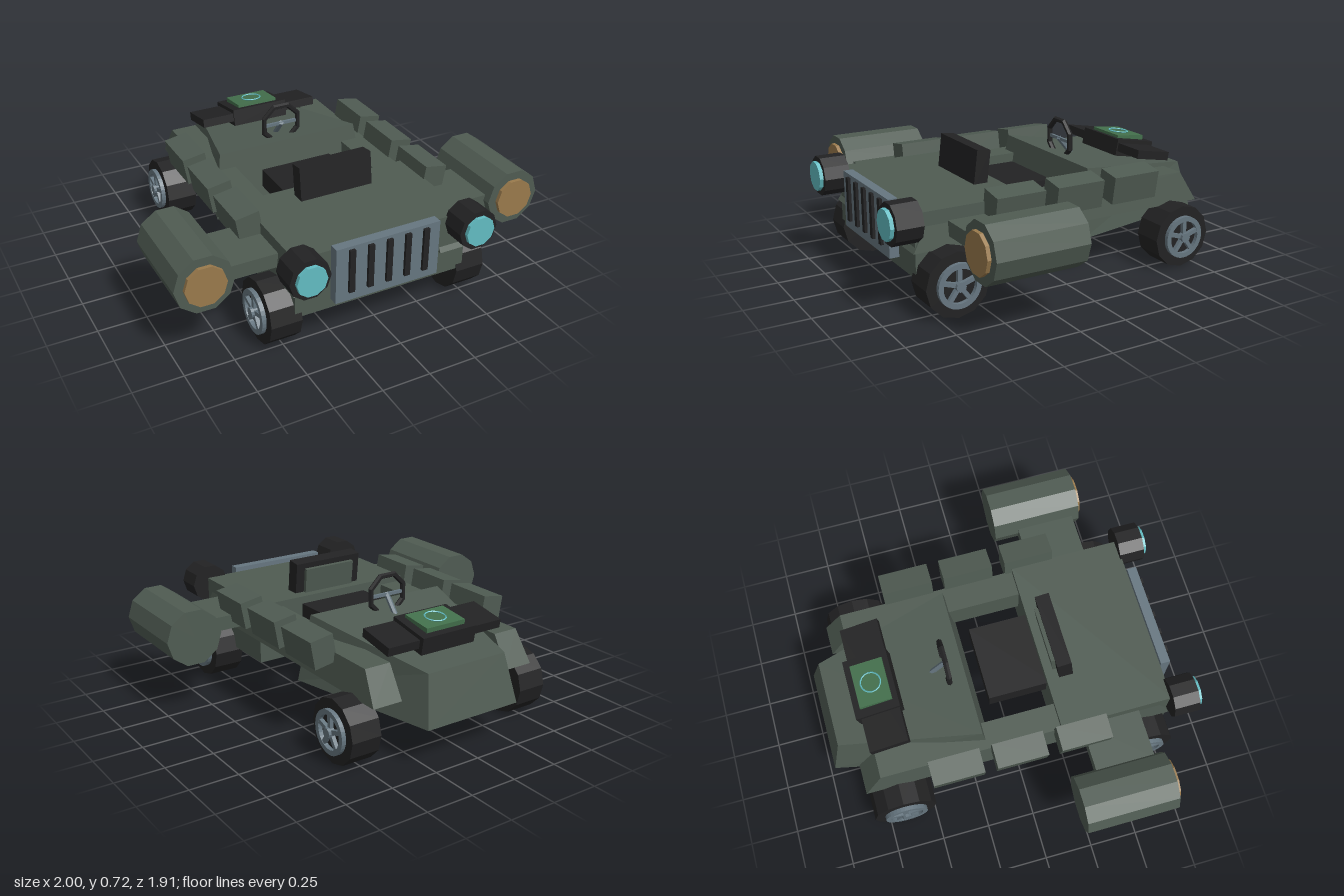
import * as THREE from 'three';

const mat = (name, color) => Object.assign(new THREE.MeshStandardMaterial({ color, flatShading: true }), { name });

export function createModel() {
  const green = mat('body green', 0x4f5b52);
  const black = mat('black', 0x222223);
  const steel = mat('blue grey steel', 0x667680);
  const cyan = mat('lens cyan', 0x62bcc2);
  const bronze = mat('bronze', 0x9a7a4c);
  const board = mat('panel green', 0x43704c);
  const root = new THREE.Group();

  const add = (name, geo, material, x, y, z, parent = root) => {
    const m = new THREE.Mesh(geo, material);
    m.name = name;
    m.position.set(x, y, z);
    parent.add(m);
    return m;
  };
  const box = (name, w, h, d, material, x, y, z, parent) =>
    add(name, new THREE.BoxGeometry(w, h, d), material, x, y, z, parent);
  // Box whose corners are placed by a rule on their signs
  const block = (name, rule, material) => {
    const g = new THREE.BoxGeometry(2, 2, 2);
    const p = g.attributes.position;
    for (let i = 0; i < p.count; i++) p.setXYZ(i, ...rule(p.getX(i), p.getY(i) > 0, p.getZ(i) > 0));
    g.computeVertexNormals();
    return add(name, g, material, 0, 0, 0);
  };
  // Ten-sided drum along z, from z0 to z1
  const drum = (name, r, z0, z1, material, x, y) => {
    const g = new THREE.CylinderGeometry(r, r, z1 - z0, 10, 1, false, Math.PI / 2);
    return add(name, g.rotateX(Math.PI / 2), material, x, y, (z0 + z1) / 2);
  };

  // Hull
  box('frontHull', 0.93, 0.32, 0.59, green, 0, 0.34, 0.515);
  block('rearHull', (sx, top, front) => {
    if (top) return front ? [sx * 0.4, 0.555, -0.18] : [sx * 0.23, 0.45, -0.9];
    return front ? [sx * 0.45, 0.2, -0.13] : [sx * 0.27, 0.2, -0.96];
  }, green);

  // Grille with slots
  box('grille', 0.56, 0.295, 0.05, steel, 0, 0.378, 0.835);
  for (let i = -2; i <= 2; i++) box('grilleSlot', 0.03, 0.23, 0.03, black, i * 0.1, 0.395, 0.86);

  // Wheel parts, axle along x, outside facing +x
  const ring = new THREE.Shape().absarc(0, 0, 0.112, 0, Math.PI * 2);
  ring.holes.push(new THREE.Path().absarc(0, 0, 0.086, 0, Math.PI * 2, true));
  const ringGeo = new THREE.ExtrudeGeometry(ring, { depth: 0.022, bevelEnabled: false, curveSegments: 16 })
    .rotateY(Math.PI / 2);
  const tyreGeo = new THREE.CylinderGeometry(0.165, 0.165, 0.16, 12).rotateZ(Math.PI / 2);
  const hubGeo = new THREE.CylinderGeometry(0.026, 0.026, 0.04, 10).rotateZ(Math.PI / 2);
  const spokeGeo = new THREE.BoxGeometry(0.02, 0.09, 0.022).translate(0, 0.05, 0);
  const wheel = (s, z) => {
    const w = new THREE.Group();
    w.name = 'wheel';
    w.position.set(s * 0.51, 0.165, z);
    w.rotation.y = s > 0 ? 0 : Math.PI;
    add('tyre', tyreGeo, black, 0, 0, 0, w);
    add('rim', ringGeo, steel, 0.08, 0, 0, w);
    add('hub', hubGeo, steel, 0.095, 0, 0, w);
    for (let i = 0; i < 5; i++) add('spoke', spokeGeo, steel, 0.09, 0, 0, w).rotation.x = i * Math.PI * 0.4;
    root.add(w);
  };

  for (const s of [1, -1]) {
    // Side rail with sloped ends
    block('sideRail', (sx, top, front) => [
      sx * s > 0 ? s * (top ? 0.46 : 0.48) : s * 0.32,
      top ? 0.47 : 0.31,
      (front ? 1 : -1) * (top ? 0.73 : 0.825),
    ], green);
    // Tilted stowage boxes
    for (const z of [-0.35, -0.02, 0.315])
      box('stowageBox', 0.125, 0.145, 0.265, green, s * 0.519, 0.485, z).rotation.z = -s * 0.17;
    // Side drum on its arm
    box('drumArm', 0.28, 0.075, 0.31, green, s * 0.59, 0.402, 0.485);
    drum('sideDrum', 0.15, 0.2, 0.68, green, s * 0.85, 0.412);
    drum('drumCap', 0.105, 0.675, 0.7, bronze, s * 0.85, 0.412);
    // Headlight
    drum('headlightCase', 0.105, 0.8, 0.935, black, s * 0.45, 0.467);
    drum('headlightLens', 0.078, 0.93, 0.955, cyan, s * 0.45, 0.467);
    wheel(s, 0.655);
    wheel(s, -0.655);
  }

  // Seat
  box('seatBase', 0.4, 0.1, 0.34, black, 0, 0.41, 0.08);
  const back = new THREE.Group();
  back.name = 'seatBack';
  back.position.set(0, 0.57, 0.315);
  back.rotation.x = -0.12;
  box('backrest', 0.4, 0.2, 0.075, black, 0, 0, 0, back);
  box('backCushion', 0.3, 0.14, 0.025, green, 0, 0, -0.045, back);
  root.add(back);

  // Steering wheel and column
  const rim = new THREE.TorusGeometry(0.107, 0.015, 6, 8).rotateZ(Math.PI / 8);
  add('steeringWheel', rim, black, 0, 0.612, -0.27);
  box('steeringSpoke', 0.2, 0.016, 0.014, steel, 0, 0.612, -0.27);
  const column = new THREE.CylinderGeometry(0.014, 0.014, 0.13, 6);
  add('steeringColumn', column, steel, 0, 0.567, -0.305).rotation.x = 0.7;

  // Tilted control console
  const console_ = new THREE.Group();
  console_.name = 'console';
  console_.position.set(0, 0.54, -0.65);
  console_.rotation.x = -0.18;
  box('consoleBox', 0.32, 0.09, 0.235, black, 0, 0, 0, console_);
  box('consoleWing', 0.68, 0.045, 0.205, black, 0, 0.003, 0.008, console_);
  root.add(console_);

  // Display panel with ring
  const panel = new THREE.Group();
  panel.name = 'displayPanel';
  panel.position.set(0, 0.592, -0.655);
  panel.rotation.x = -0.12;
  box('panelPlate', 0.23, 0.025, 0.17, board, 0, 0, 0, panel);
  add('panelRing', new THREE.TorusGeometry(0.052, 0.004, 4, 16).rotateX(Math.PI / 2), cyan, 0, 0.016, 0, panel);
  root.add(panel);

  return root;
}
